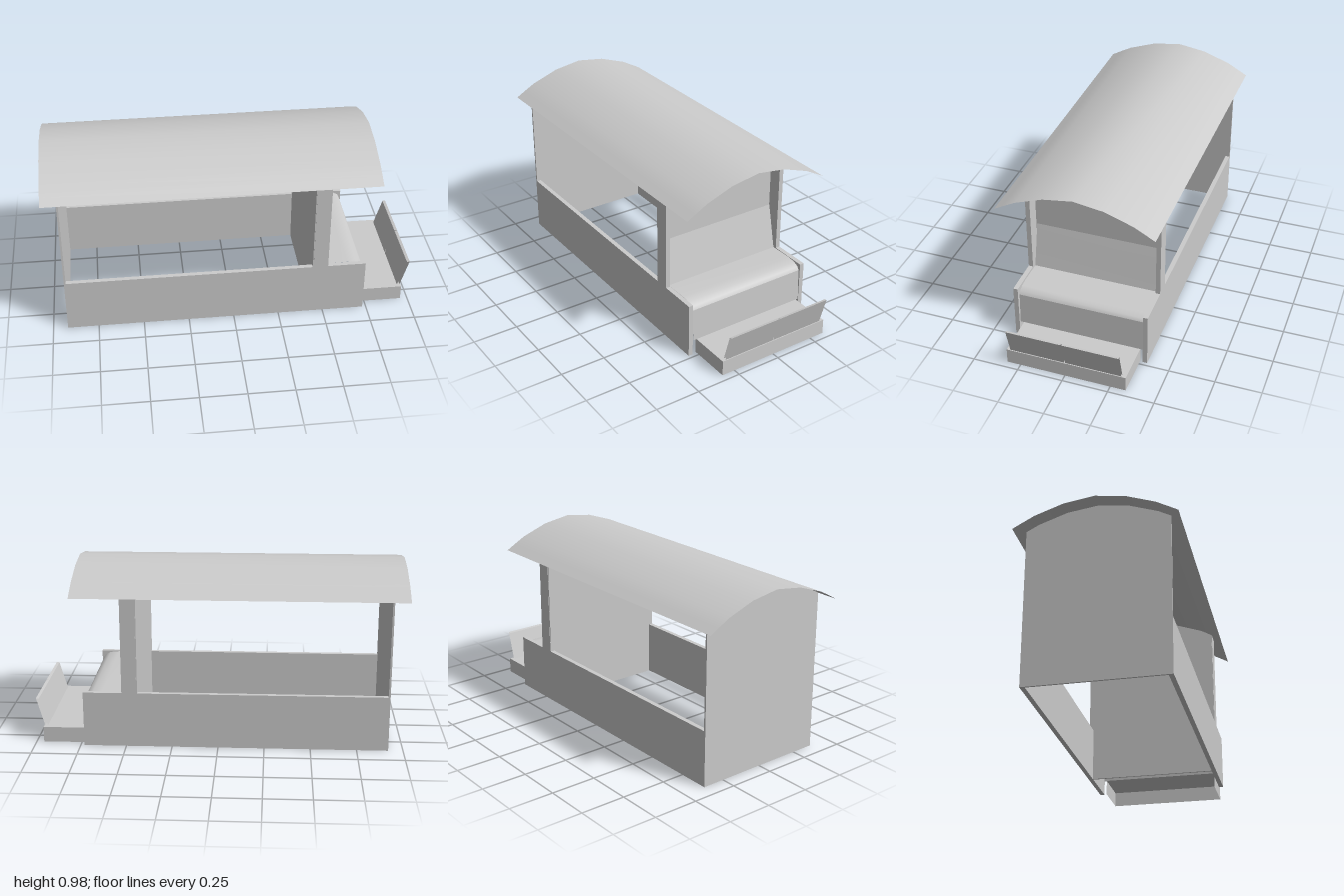
import * as THREE from 'three';

const material = new THREE.MeshStandardMaterial({ color: 0xcccccc, side: THREE.DoubleSide });
const smoothMaterial = material;
const flatMaterial = new THREE.MeshStandardMaterial({ color: 0xcccccc, side: THREE.DoubleSide, flatShading: true });

// Thin sheet: a profile of [p, y] points swept between two ends.
// place(p, y, s) turns profile point and sweep position into x, y, z.
function sheet(name, profile, ends, place, mat = flatMaterial) {
  const positions = [], index = [];
  profile.forEach(([p, y], i) => {
    for (const s of ends) positions.push(...place(p, y, s));
    if (i) {
      const k = 2 * i;
      index.push(k - 2, k - 1, k, k, k - 1, k + 1);
    }
  });
  const geometry = new THREE.BufferGeometry();
  geometry.setAttribute('position', new THREE.Float32BufferAttribute(positions, 3));
  geometry.setIndex(index);
  geometry.computeVertexNormals();
  const mesh = new THREE.Mesh(geometry, mat);
  mesh.name = name;
  return mesh;
}

const acrossZ = (x, y, z) => [x, y, z];
const alongX = (z, y, x) => [x, y, z];

// Flat panel cut from an outline and given a thickness
function panel(name, points, depth) {
  const shape = new THREE.Shape(points.map(([a, b]) => new THREE.Vector2(a, b)));
  const geometry = new THREE.ExtrudeGeometry(shape, { depth, bevelEnabled: false });
  const mesh = new THREE.Mesh(geometry, flatMaterial);
  mesh.name = name;
  return mesh;
}

export function createModel() {
  const model = new THREE.Group();
  model.name = 'carriage';

  // Low side walls, each with its tall door post
  const sideOutline = [
    [-0.92, 0], [0.73, 0], [0.73, 0.305], [0.52, 0.305],
    [0.52, 0.865], [0.44, 0.865], [0.44, 0.305], [-0.92, 0.305],
  ];
  for (const [name, z] of [['frontSideWall', 0.35], ['backSideWall', -0.375]]) {
    const wall = panel(name, sideOutline, 0.025);
    wall.position.z = z;
    model.add(wall);
  }

  // Arched end wall and the bulkhead behind the bench
  const arch = [[0.31, 0.9], [0.16, 0.953], [0, 0.975], [-0.16, 0.953], [-0.31, 0.9]];
  for (const [name, x, w] of [['endWall', -0.92, 0.375], ['bulkhead', 0.435, 0.373]]) {
    const wall = panel(name, [[-w, 0], [w, 0], [w, 0.865], ...arch, [-w, 0.865]], 0.01);
    wall.rotation.y = Math.PI / 2;
    wall.position.x = x;
    model.add(wall);
  }

  // Curved roof overhanging both ends
  const roof = [[0.425, 0.842], [0.375, 0.87], [0.31, 0.905], [0.16, 0.958], [0, 0.982],
    [-0.16, 0.958], [-0.31, 0.905], [-0.375, 0.87], [-0.425, 0.842]];
  model.add(sheet('roof', roof, [-1, 0.78], alongX, smoothMaterial));

  // Bench: leaning back, seat with a rounded nose, and riser
  const bench = [[0.446, 0.545], [0.465, 0.46], [0.482, 0.38], [0.5, 0.3]];
  const seat = [[0.5, 0.3], [0.63, 0.303], [0.68, 0.298], [0.71, 0.283], [0.72, 0.265]];
  model.add(sheet('benchBack', bench, [-0.35, 0.345], acrossZ, smoothMaterial));
  model.add(sheet('benchSeat', seat, [-0.35, 0.345], acrossZ, smoothMaterial));
  model.add(sheet('benchRiser', [[0.72, 0.265], [0.728, 0.085]], [-0.35, 0.345], acrossZ));

  // Footboard, open underneath
  const footboard = new THREE.Group();
  footboard.name = 'footboard';
  footboard.add(sheet('footboardTop', [[0.72, 0.085], [0.96, 0.085], [0.96, 0]], [-0.335, 0.325], acrossZ));
  for (const z of [-0.335, 0.325]) {
    footboard.add(sheet('footboardSide', [[0.72, 0], [0.72, 0.085]], [0.72, 0.96], (p, y, x) => [x, y, z]));
  }
  model.add(footboard);

  // Dashboard: two hollow panels leaning outward, open at their ends
  const dash = [[0.94, 0.085], [0.985, 0.24], [1, 0.243], [0.955, 0.085]];
  for (const ends of [[-0.31, -0.002], [0.002, 0.305]]) {
    model.add(sheet('dashboardPanel', dash, ends, acrossZ));
  }
  return model;
}
